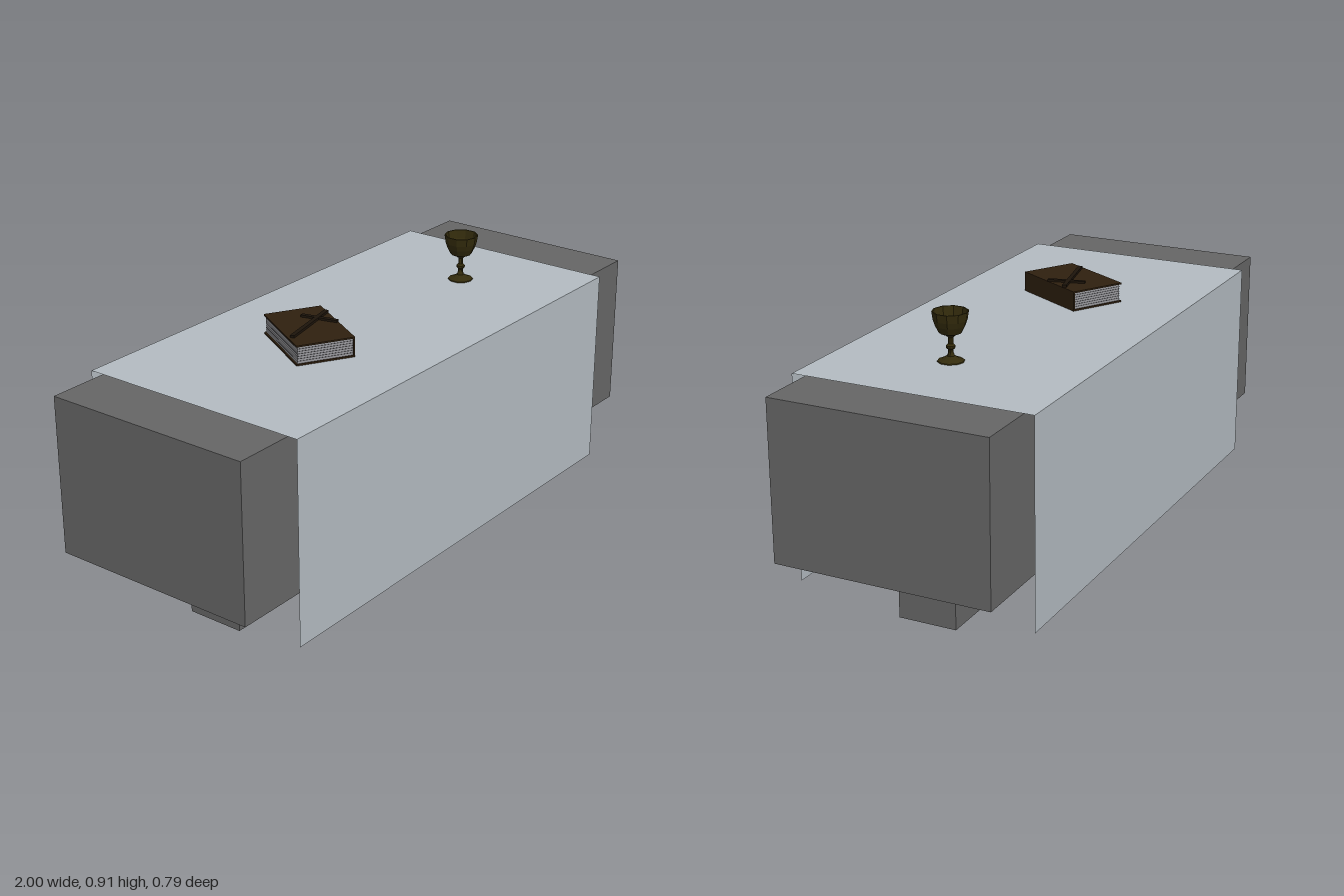
import * as THREE from 'three';

const mat = (name, color, extra = {}) => {
  const m = new THREE.MeshStandardMaterial({ color, ...extra });
  m.name = name;
  return m;
};

export function createModel() {
  const stone = mat('stone', 0x666666);
  const linen = mat('linen', 0xb4bcc2, { side: THREE.DoubleSide });
  const leather = mat('leather', 0x2f200f);
  const emblemDark = mat('dark leather', 0x1d140a);
  const paper = mat('paper', 0x98989c);
  const paperLine = mat('paper shadow line', 0x505054);
  const brass = mat('old brass', 0x332b0c, { flatShading: true, side: THREE.DoubleSide });

  const model = new THREE.Group();
  model.name = 'altar';

  const add = (parent, name, geometry, material, x = 0, y = 0, z = 0) => {
    const mesh = new THREE.Mesh(geometry, material);
    mesh.name = name;
    mesh.position.set(x, y, z);
    parent.add(mesh);
    return mesh;
  };
  const box = (parent, name, size, pos, material) =>
    add(parent, name, new THREE.BoxGeometry(...size), material, ...pos);

  // Hollow altar block, open below: wall ring plus lid
  const rect = (Type, w, d) => {
    const s = new Type();
    s.moveTo(-w, -d);
    s.lineTo(w, -d);
    s.lineTo(w, d);
    s.lineTo(-w, d);
    s.closePath();
    return s;
  };
  const ring = rect(THREE.Shape, 1, 0.356);
  ring.holes.push(rect(THREE.Path, 0.96, 0.316));
  const walls = new THREE.ExtrudeGeometry(ring, { depth: 0.485, bevelEnabled: false });
  walls.rotateX(-Math.PI / 2);
  add(model, 'blockWalls', walls, stone, 0, 0.235, 0);
  box(model, 'blockTop', [2, 0.03, 0.712], [0, 0.735, 0], stone);

  // Foot running up inside the block
  box(model, 'foot', [1.47, 0.725, 0.194], [0, 0.3625, 0], stone);

  // Cloth: one flat top and two hanging sheets
  const cloth = new THREE.Group();
  cloth.name = 'cloth';
  model.add(cloth);
  const top = add(cloth, 'clothTop', new THREE.PlaneGeometry(1.616, 0.79), linen, 0, 0.755, 0);
  top.rotation.x = -Math.PI / 2;
  for (const side of [1, -1]) {
    const drop = add(cloth, side > 0 ? 'clothFront' : 'clothBack',
      new THREE.PlaneGeometry(1.616, 0.665), linen, 0, 0.4225, side * 0.395);
    if (side < 0) drop.rotation.y = Math.PI;
  }

  // Book, turned on the cloth, spine on its +x side
  const book = new THREE.Group();
  book.name = 'book';
  book.position.set(-0.26, 0.756, -0.004);
  book.rotation.y = -Math.PI / 6;
  model.add(book);
  const W = 0.19, L = 0.284, H = 0.065, T = 0.005;
  box(book, 'bottomCover', [W, T, L], [0, T / 2, 0], leather);
  box(book, 'topCover', [W, T, L], [0, H - T / 2, 0], leather);
  box(book, 'spine', [T, H - 2 * T, L], [W / 2 - T / 2, H / 2, 0], leather);
  box(book, 'pages', [W - 0.011, H - 2 * T, L - 0.01], [0, H / 2, 0], paper);
  for (let i = 1; i <= 6; i++) {
    box(book, 'pageLine', [W - 0.01, 0.0018, L - 0.008], [0, T + (H - 2 * T) * i / 7, 0], paperLine);
  }

  // Raised crossed bars on the cover
  const bar = (name, x1, z1, x2, z2, width, h) => {
    const mesh = box(model, name, [Math.hypot(x2 - x1, z2 - z1), h, width],
      [(x1 + x2) / 2, 0.821 + h / 2, (z1 + z2) / 2], emblemDark);
    mesh.rotation.y = -Math.atan2(z2 - z1, x2 - x1);
  };
  bar('coverLongBar', -0.37, 0.02, -0.14, -0.03, 0.014, 0.008);
  bar('coverCrossBar', -0.215, -0.07, -0.185, 0.05, 0.014, 0.007);

  // Goblet: faceted foot, knobbed stem and open bowl
  const profile = [
    [0, 0], [0.042, 0], [0.041, 0.003], [0.026, 0.009], [0.012, 0.017],
    [0.008, 0.028], [0.008, 0.036], [0.014, 0.042], [0.014, 0.049], [0.008, 0.055],
    [0.008, 0.074], [0.015, 0.081], [0.035, 0.09], [0.046, 0.112], [0.052, 0.13],
    [0.056, 0.156], [0.052, 0.156], [0.047, 0.128], [0.033, 0.096], [0, 0.088],
  ].map(([r, y]) => new THREE.Vector2(r, y));
  add(model, 'goblet', new THREE.LatheGeometry(profile, 10), brass, 0.505, 0.756, 0.033);

  return model;
}
